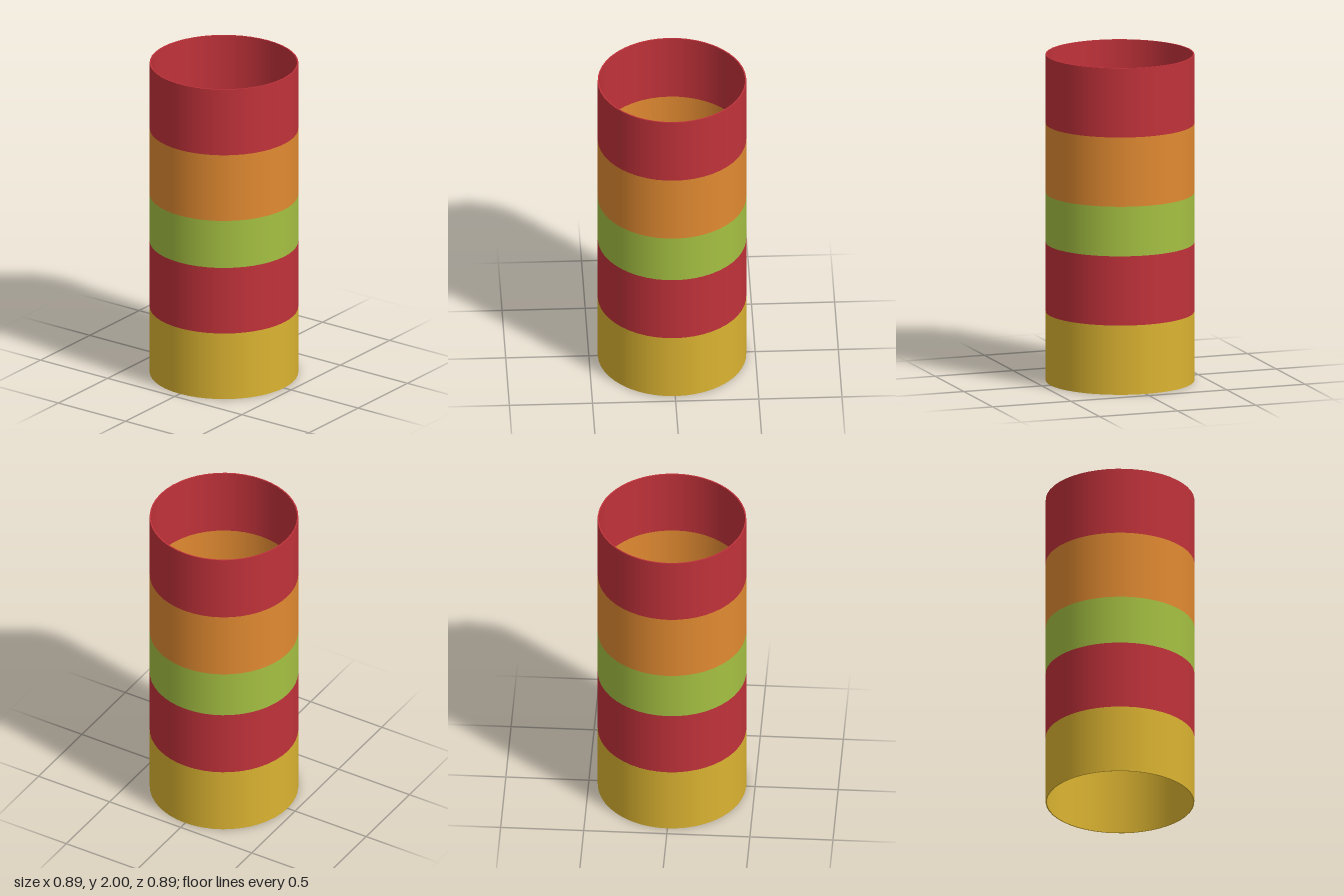
import * as THREE from 'three';
import { mergeGeometries } from 'three/addons/utils/BufferGeometryUtils.js';

const OUTER = 0.447, INNER = 0.439, SIDES = 48;

function material(name, color) {
  const m = new THREE.MeshStandardMaterial({ color });
  m.name = name;
  return m;
}

// One surface of revolution between two [radius, height] points
function surface(a, b) {
  return new THREE.LatheGeometry([new THREE.Vector2(...a), new THREE.Vector2(...b)], SIDES);
}

export function createModel() {
  const group = new THREE.Group();
  group.name = 'stripedTube';

  const red = material('red', 0xc1323a);
  const orange = material('orange', 0xe18a31);
  const green = material('green', 0xa5c042);
  const yellow = material('yellow', 0xdbb331);

  // Bands from bottom to top: name, bottom, top, material
  const bands = [
    ['bottomBand', 0, 0.424, yellow],
    ['lowerBand', 0.424, 0.848, red],
    ['middleBand', 0.848, 1.152, green],
    ['upperBand', 1.152, 1.576, orange],
    ['topBand', 1.576, 2, red],
  ];

  bands.forEach(([name, y0, y1, mat], i) => {
    // Outer and inner wall, with a rim only at the open ends of the tube
    const parts = [
      surface([OUTER, y0], [OUTER, y1]),
      surface([INNER, y1], [INNER, y0]),
    ];
    if (i === 0) parts.push(surface([INNER, y0], [OUTER, y0]));
    if (i === bands.length - 1) parts.push(surface([OUTER, y1], [INNER, y1]));
    const mesh = new THREE.Mesh(mergeGeometries(parts), mat);
    mesh.name = name;
    group.add(mesh);
  });

  return group;
}
